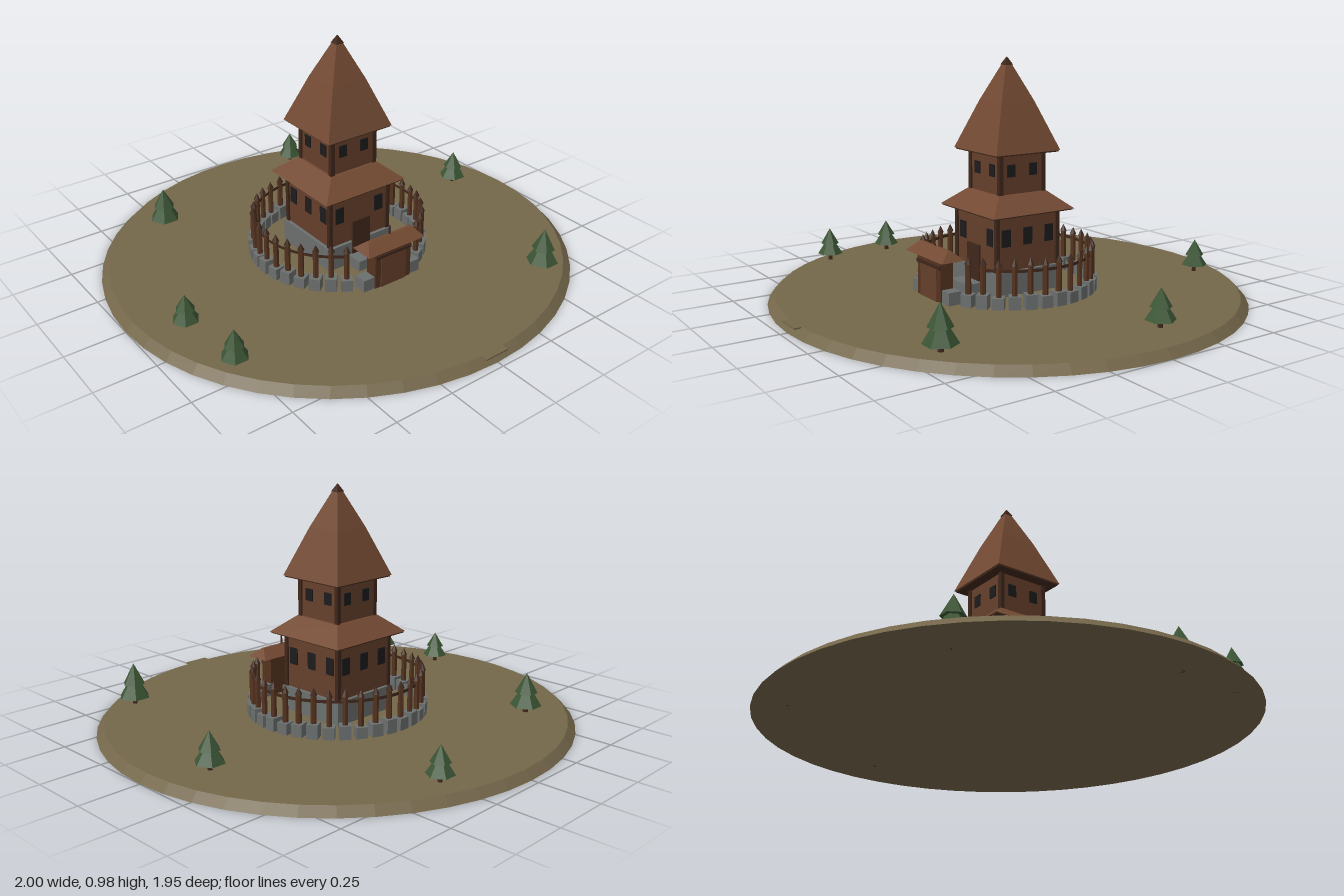
import * as THREE from 'three';

const mat = (name, color) => {
  const m = new THREE.MeshStandardMaterial({ color });
  m.name = name;
  return m;
};

export function createModel() {
  const earth = mat('earth', 0x73664a);
  const stone = mat('stone', 0x6b6f6e);
  const wall = mat('wall planks', 0x653f2b);
  const roofing = mat('roof shingles', 0x734a33);
  const timber = mat('dark timber', 0x40271a);
  const post = mat('palisade wood', 0x55331f);
  const glass = mat('window', 0x1d1b1c);
  const leaf = mat('pine needles', 0x3b5534);
  timber.side = THREE.DoubleSide; // the rail is an open band

  const root = new THREE.Group();
  root.name = 'watchtower';

  const group = (name, parent = root) => {
    const g = new THREE.Group();
    g.name = name;
    parent.add(g);
    return g;
  };
  // Adds a facetted mesh
  const add = (parent, name, geometry, material, x = 0, y = 0, z = 0) => {
    const flat = geometry.index ? geometry.toNonIndexed() : geometry;
    flat.computeVertexNormals();
    const m = new THREE.Mesh(flat, material);
    m.name = name;
    m.position.set(x, y, z);
    parent.add(m);
    return m;
  };
  // Box standing on y = 0 whose top has its own width and depth
  const frustum = (w0, d0, w1, d1, h) => {
    const g = new THREE.BoxGeometry(1, h, 1).translate(0, h / 2, 0);
    const p = g.attributes.position;
    for (let i = 0; i < p.count; i++) {
      const top = p.getY(i) > h / 2;
      p.setX(i, p.getX(i) * (top ? w1 : w0));
      p.setZ(i, p.getZ(i) * (top ? d1 : d0));
    }
    return g;
  };
  const block = (w, h, d) => frustum(w, d, w, d, h);
  const cyl = (r1, r0, h, n) => new THREE.CylinderGeometry(r1, r0, h, n).translate(0, h / 2, 0);

  // Island, slightly oval, and a path slab overhanging its rim
  const G = 0.032, OVAL = 0.973;
  add(root, 'ground', cyl(0.968, 1, G, 48).scale(1, 1, OVAL), earth);
  add(root, 'path', block(0.11, 0.006, 0.58), earth, 0, G - 0.006, 0.677);

  // Tower
  const tower = group('tower');
  add(tower, 'foundation', block(0.325, 0.1, 0.325), stone, 0, G, 0);
  add(tower, 'doorStep', block(0.126, 0.045, 0.08), stone, 0, G, 0.195);
  add(tower, 'lowerStorey', block(0.296, 0.24, 0.296), wall, 0, 0.13, 0);
  add(tower, 'skirtEave', block(0.385, 0.006, 0.385), timber, 0, 0.358, 0);
  add(tower, 'skirtRoof', frustum(0.4, 0.394, 0.235, 0.232, 0.07), roofing, 0, 0.364, 0);
  add(tower, 'upperStorey', block(0.216, 0.18, 0.212), wall, 0, 0.425, 0);
  add(tower, 'roofEave', block(0.305, 0.006, 0.3), timber, 0, 0.596, 0);
  add(tower, 'roofLower', frustum(0.316, 0.31, 0.162, 0.159, 0.198), roofing, 0, 0.602, 0);
  add(tower, 'roofUpper', frustum(0.162, 0.159, 0.012, 0.012, 0.166), roofing, 0, 0.8, 0);
  add(tower, 'roofTip', frustum(0.038, 0.038, 0.002, 0.002, 0.032), timber, 0, 0.944, 0);

  // Corner timbers
  for (const sx of [-1, 1]) for (const sz of [-1, 1]) {
    add(tower, 'lowerCornerPost', block(0.018, 0.23, 0.018), timber, sx * 0.147, 0.13, sz * 0.147);
    add(tower, 'upperCornerPost', block(0.018, 0.175, 0.018), timber, sx * 0.106, 0.427, sz * 0.104);
  }

  // Windows and door, side 0 being the front
  for (let side = 0; side < 4; side++) {
    const face = group('towerFace', tower);
    face.rotation.y = side * Math.PI / 2;
    for (const x of side ? [-0.105, 0, 0.105] : [-0.1, 0.1])
      add(face, 'lowerWindow', block(0.042, 0.07, 0.006), glass, x, 0.232, 0.149);
    for (const x of [-0.053, 0.053])
      add(face, 'upperWindow', block(0.038, 0.05, 0.006), glass, x, 0.504, side % 2 ? 0.109 : 0.107);
    if (!side) add(face, 'towerDoor', block(0.09, 0.15, 0.008), timber, 0, 0.077, 0.1625);
  }

  // Palisade, open at the front
  const fence = group('palisade');
  const R = 0.359, STEP = Math.PI / 18;
  fence.scale.z = OVAL;
  for (let i = 3; i <= 33; i++) {
    const s = group('palisadeStake', fence);
    const a = i * STEP;
    s.position.set(R * Math.sin(a), G, R * Math.cos(a));
    s.rotation.y = a;
    const lift = (i * 7 % 5) * 0.003;
    add(s, 'footing', block(0.047, 0.046 + lift, 0.047), stone);
    add(s, 'stake', cyl(0.0115, 0.0125, 0.152, 6), post, 0, 0.02);
    add(s, 'stakeTip', cyl(0, 0.015, 0.03, 6), timber, 0, 0.166 + lift / 2);
  }
  // Rail band through the stakes
  const band = new THREE.CylinderGeometry(R, R, 0.013, 30, 1, true, 3 * STEP, 30 * STEP);
  add(fence, 'rail', band, timber, 0, 0.18, 0);

  // Gatehouse
  const gate = group('gatehouse');
  gate.position.z = 0.345;
  add(gate, 'gateBody', block(0.18, 0.172, 0.056), post, 0, G, 0);
  add(gate, 'gateDoor', block(0.126, 0.13, 0.008), wall, 0, G, 0.028);
  add(gate, 'gateLintel', block(0.18, 0.014, 0.012), timber, 0, 0.165, 0.028);
  add(gate, 'gateRoof', frustum(0.285, 0.104, 0.22, 0.012, 0.04), roofing, 0, 0.203, 0);
  add(gate, 'gateFinial', cyl(0.003, 0.005, 0.045, 6), timber, 0, 0.235, 0);
  for (const s of [-1, 1])
    add(gate, 'gateFooting', block(0.055, 0.052, 0.055), stone, s * 0.115, G, -0.005);

  // Pines: x, z, foliage radius, height
  const trees = [
    [0.295, -0.79, 0.055, 0.172], [-0.51, -0.595, 0.065, 0.2], [0.79, -0.135, 0.06, 0.182],
    [-0.815, 0.138, 0.055, 0.17], [-0.785, 0.44, 0.055, 0.177], [0.565, 0.655, 0.066, 0.208],
  ];
  for (const [x, z, r, h] of trees) {
    const t = group('pine');
    t.position.set(x, 0, z);
    t.rotation.y = Math.PI / 6;
    add(t, 'trunk', cyl(r * 0.14, r * 0.18, h * 0.5, 6), timber);
    const base = 0.061, span = h - base;
    for (const [lo, hi, k] of [[0, 0.75, 1], [0.4, 1, 0.72]])
      add(t, 'foliage', cyl(0, r * k, span * (hi - lo), 6), leaf, 0, base + span * lo);
  }
  return root;
}
